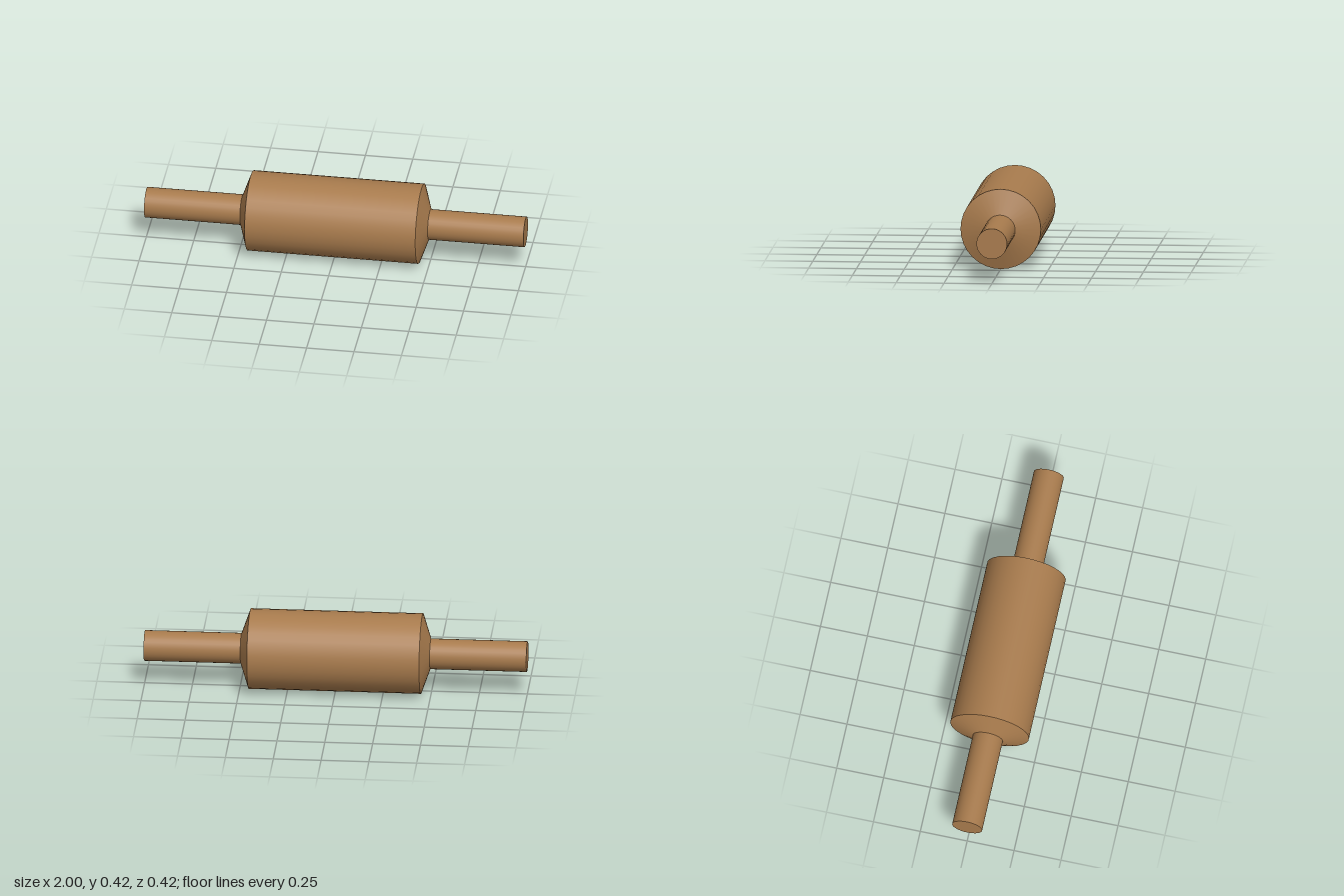
import * as THREE from 'three';

const SIDES = 32;
const AXIS_Y = 0.21;

export function createModel() {
  const model = new THREE.Group();
  model.name = 'rollingPin';
  const wood = new THREE.MeshStandardMaterial({ color: 0xa87b4d });
  wood.name = 'wood';

  // Turned section lying along x, from x0 to x1 with radii r0 and r1
  function section(name, x0, x1, r0, r1, open) {
    const geometry = new THREE.CylinderGeometry(r1, r0, x1 - x0, SIDES, 1, open);
    geometry.rotateZ(-Math.PI / 2);
    const mesh = new THREE.Mesh(geometry, wood);
    mesh.name = name;
    mesh.position.set((x0 + x1) / 2, AXIS_Y, 0);
    model.add(mesh);
    return mesh;
  }

  // Rolling barrel
  section('barrel', -0.45, 0.45, 0.21, 0.21, true);

  // Tapered shoulder and handle at each end
  for (const side of [1, -1]) {
    const prefix = side > 0 ? 'left' : 'right';
    const turn = side > 0 ? 0 : Math.PI;
    const shoulder = section(prefix + 'Shoulder', 0.45, 0.495, 0.21, 0.08, true);
    const handle = section(prefix + 'Handle', 0.49, 1, 0.08, 0.08, false);
    for (const part of [shoulder, handle]) {
      part.position.x *= side;
      part.rotation.y = turn;
    }
  }
  return model;
}
